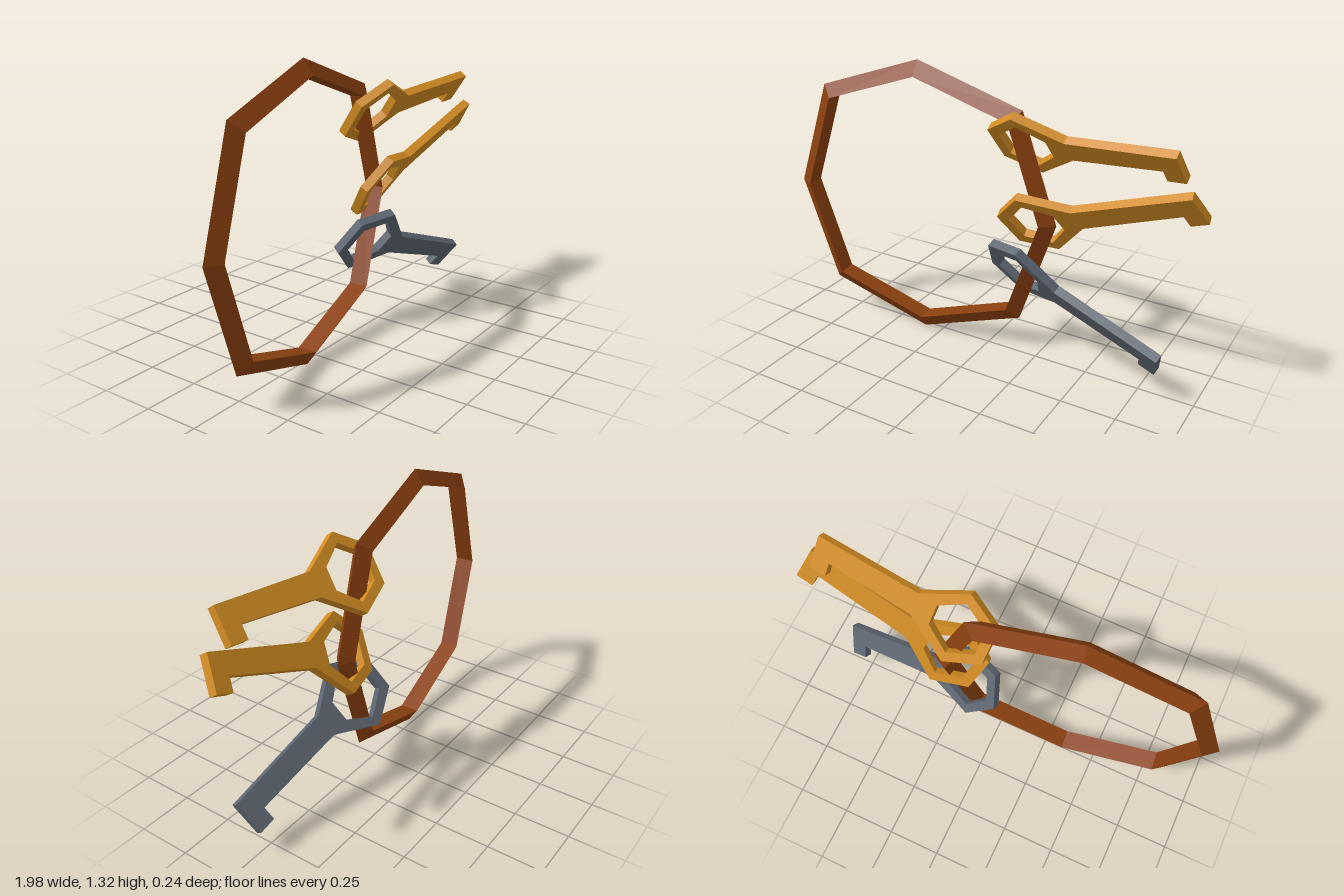
import * as THREE from 'three';

const mat = (name, color) => {
  const m = new THREE.MeshStandardMaterial({ color, flatShading: true });
  m.name = name;
  return m;
};

// Octagonal ring with a triangular section, its diagonal corners pushed out a little
function makeRing(material) {
  const geo = new THREE.TorusGeometry(0.615, 0.045, 3, 8);
  const p = geo.attributes.position;
  for (let i = 0; i < p.count; i++) {
    const x = p.getX(i), y = p.getY(i);
    const corner = Math.round(Math.atan2(y, x) / (Math.PI / 4));
    const s = corner % 2 !== 0 ? 1.06 : 1;
    p.setXYZ(i, x * s, y * s, p.getZ(i) * 1.15);
  }
  geo.computeVertexNormals();
  const ring = new THREE.Mesh(geo, material);
  ring.name = 'ring';
  ring.position.set(-0.34, 0.667, 0.025);
  ring.rotation.y = 0.09;
  return ring;
}

// Flat key: six-sided bow with a hole, slightly tapered shank, one tooth at the tip
function makeKey(name, material, length, centre, along, up) {
  const v2 = ([x, y]) => new THREE.Vector2(x, y);
  const end = length;
  const shape = new THREE.Shape([
    [-0.16, 0.09], [-0.16, -0.09], [0, -0.18], [0.2, -0.055],
    [end - 0.08, -0.047], [end - 0.08, -0.11], [end, -0.11], [end, 0.047],
    [0.2, 0.055], [0, 0.18],
  ].map(v2));
  shape.holes.push(new THREE.Path([
    [-0.115, 0.062], [0, 0.13], [0.11, 0.05],
    [0.11, -0.05], [0, -0.13], [-0.115, -0.062],
  ].map(v2)));
  const geo = new THREE.ExtrudeGeometry(shape, { depth: 0.04, bevelEnabled: false });
  geo.translate(0, 0, -0.02);

  const key = new THREE.Mesh(geo, material);
  key.name = name;
  const u = new THREE.Vector3(...along).normalize();
  const n = u.clone().cross(new THREE.Vector3(...up)).normalize();
  const v = n.clone().cross(u);
  key.quaternion.setFromRotationMatrix(new THREE.Matrix4().makeBasis(u, v, n));
  key.position.set(...centre);
  return key;
}

export function createModel() {
  const group = new THREE.Group();
  group.name = 'keyRing';
  const brown = mat('rust brown', 0x8b4010);
  const gold = mat('gold', 0xd18b22);
  const grey = mat('steel grey', 0x5c6570);

  group.add(
    makeRing(brown),
    makeKey('upperKey', gold, 0.68, [0.195, 1.033, 0], [0.675, 0.064, 0.07], [-0.043, 0.289, 0.212]),
    makeKey('middleKey', gold, 0.745, [0.25, 0.687, 0], [0.698, 0.259, 0.06], [-0.12, 0.287, 0.2]),
    makeKey('lowerKey', grey, 0.72, [0.167, 0.433, 0], [0.681, -0.229, 0.058], [0.075, 0.285, 0.21]),
  );
  return group;
}
